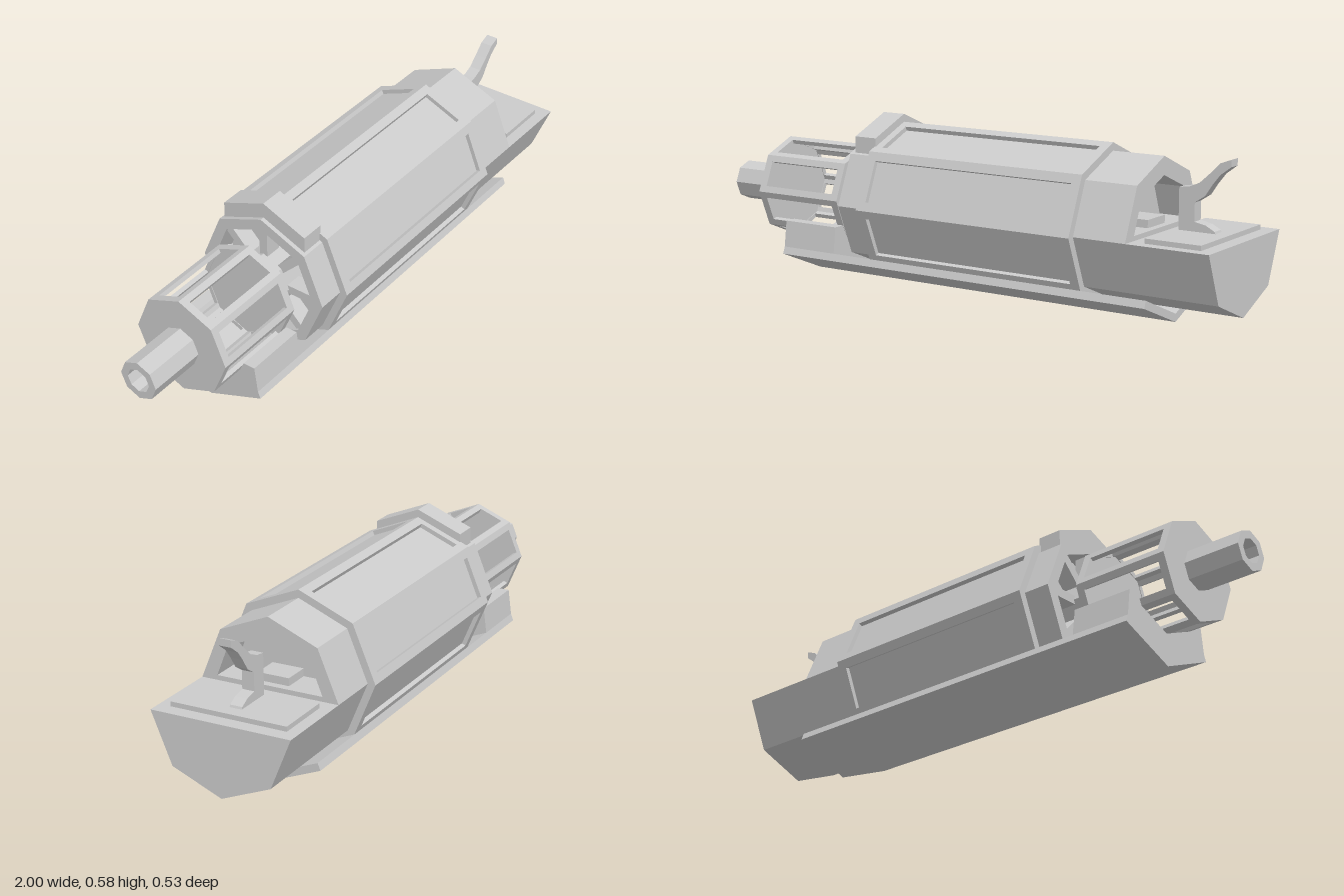
import * as THREE from 'three';

const CY = 0.289; // height of the long axis
const MAT = new THREE.MeshStandardMaterial({ color: 0xcccccc, flatShading: true });

const mesh = (geo, name) => {
  const m = new THREE.Mesh(geo, MAT);
  m.name = name;
  return m;
};

const toShape = (pts) => new THREE.Shape(pts.map(([a, b]) => new THREE.Vector2(a, b)));

// Octagon outline with one corner pointing up
const octagon = (r, cy = CY) =>
  Array.from({ length: 8 }, (_, i) => [r * Math.cos((i * Math.PI) / 4), cy + r * Math.sin((i * Math.PI) / 4)]);

// Mirrors a half outline given from bottom to top on one side
const mirrored = (half) => [
  ...half,
  ...half.filter(([z]) => z !== 0).reverse().map(([z, y]) => [-z, y]),
];

// Cross-section (z, y) pushed along x
function prism(name, pts, x0, x1, hole) {
  const s = toShape(pts);
  if (hole) s.holes.push(toShape(hole));
  const g = new THREE.ExtrudeGeometry(s, { depth: x1 - x0, bevelEnabled: false });
  g.rotateY(Math.PI / 2).translate(x0, 0, 0);
  return mesh(g, name);
}

// Eight mitred frames, each with a window, closed into an octagonal shell
function windowShell(name, R, x0, x1, endMargin, sideRatio, depth) {
  const group = new THREE.Group();
  group.name = name;
  const a = R * Math.cos(Math.PI / 8);
  const h = R * Math.sin(Math.PI / 8);
  const w = h * sideRatio;
  const s = toShape([[x0, -h], [x1, -h], [x1, h], [x0, h]]);
  const l = x0 + endMargin, r = x1 - endMargin;
  s.holes.push(toShape([[l, -w], [l, w], [r, w], [r, -w]]));
  const g = new THREE.ExtrudeGeometry(s, { depth, bevelEnabled: false });
  g.translate(0, 0, a - depth);
  const p = g.attributes.position;
  for (let i = 0; i < p.count; i++) {
    if (Math.abs(p.getY(i)) > h - 1e-4) p.setY(i, (p.getY(i) * p.getZ(i)) / a);
  }
  for (let i = 0; i < 8; i++) {
    const f = mesh(g, 'windowFrame');
    f.rotation.x = ((i + 0.5) * Math.PI) / 4;
    group.add(f);
  }
  group.position.y = CY;
  return group;
}

const innerRadius = (R, depth) => R - depth / Math.cos(Math.PI / 8);

export function createModel() {
  const model = new THREE.Group();

  // Main body: framed shell around a solid core
  model.add(windowShell('bodyFrame', 0.267, -0.3, 0.53, 0.033, 0.7, 0.015));
  model.add(prism('bodyCore', octagon(innerRadius(0.267, 0.015)), -0.3, 0.53));

  // Front collar: open ring, spokes and hub
  model.add(prism('frontCollar', octagon(0.24), -0.395, -0.3, octagon(0.2)));
  model.add(prism('hub', octagon(0.1), -0.456, -0.3));
  const spokes = new THREE.Group();
  spokes.name = 'spokes';
  const spokeGeo = new THREE.BoxGeometry(0.06, 0.13, 0.03).translate(0, 0.15, 0);
  for (let i = 0; i < 8; i++) {
    const s = mesh(spokeGeo, 'spoke');
    s.rotation.x = (i * Math.PI) / 4;
    spokes.add(s);
  }
  spokes.position.set(-0.355, CY, 0);
  model.add(spokes);

  // Saddle block on top of the collar
  model.add(prism('topSaddle', mirrored([[0, 0.5], [0.16, 0.44], [0.16, 0.518], [0, 0.583]]), -0.38, -0.295));

  // Hollow cage with end plates
  model.add(windowShell('cage', 0.175, -0.8, -0.455, 0.027, 0.66, 0.015));
  const cageIn = innerRadius(0.175, 0.015);
  model.add(prism('cageFrontPlate', octagon(cageIn), -0.8, -0.775));
  model.add(prism('cageRearPlate', octagon(cageIn), -0.48, -0.455));

  // Barrel
  model.add(prism('barrel', octagon(0.069), -1, -0.8, octagon(0.042)));

  // Keel plate and the cradle under the cage
  model.add(prism('keel', mirrored([[0, 0.003], [0.203, 0.086], [0.194, 0.11], [0, 0.03]]), -0.672, 0.765));
  model.add(prism('cradle',
    mirrored([[0, 0.028], [0.194, 0.109], [0.182, 0.2], [0.14, 0.2], [0.124, 0.165], [0, 0.114]]), -0.672, -0.455));

  // Rear section: full-length lower half and a short hooded upper half
  const oct = octagon(0.24);
  const lower = [...oct.slice(4), oct[0]];
  const recess = [[-0.185, 0.305], [0.185, 0.305], [0.143, 0.411], [0, 0.468], [-0.143, 0.411]];
  model.add(prism('rearLower', lower, 0.53, 1));
  model.add(prism('rearHood', oct.slice(0, 5), 0.6, 0.715, recess));
  model.add(prism('rearHoodBase', oct.slice(0, 5), 0.53, 0.6));

  const block = (name, x0, x1, y0, y1, w) => {
    const b = mesh(new THREE.BoxGeometry(x1 - x0, y1 - y0, w), name);
    b.position.set((x0 + x1) / 2, (y0 + y1) / 2, 0);
    model.add(b);
  };
  block('deckPlate', 0.76, 0.953, 0.28, 0.305, 0.4);
  block('recessBlock', 0.6, 0.69, 0.3, 0.331, 0.11);

  // Curved lever standing on the deck
  const lever = new THREE.ExtrudeGeometry(toShape([
    [0.78, 0.3], [0.91, 0.3], [0.905, 0.312], [0.875, 0.328], [0.835, 0.336], [0.835, 0.397],
    [0.87, 0.42], [0.895, 0.458], [0.92, 0.49], [0.957, 0.518], [0.957, 0.541], [0.92, 0.527],
    [0.885, 0.492], [0.85, 0.46], [0.815, 0.445], [0.78, 0.44],
  ]), { depth: 0.042, bevelEnabled: false }).translate(0, 0, -0.021);
  model.add(mesh(lever, 'lever'));

  return model;
}
